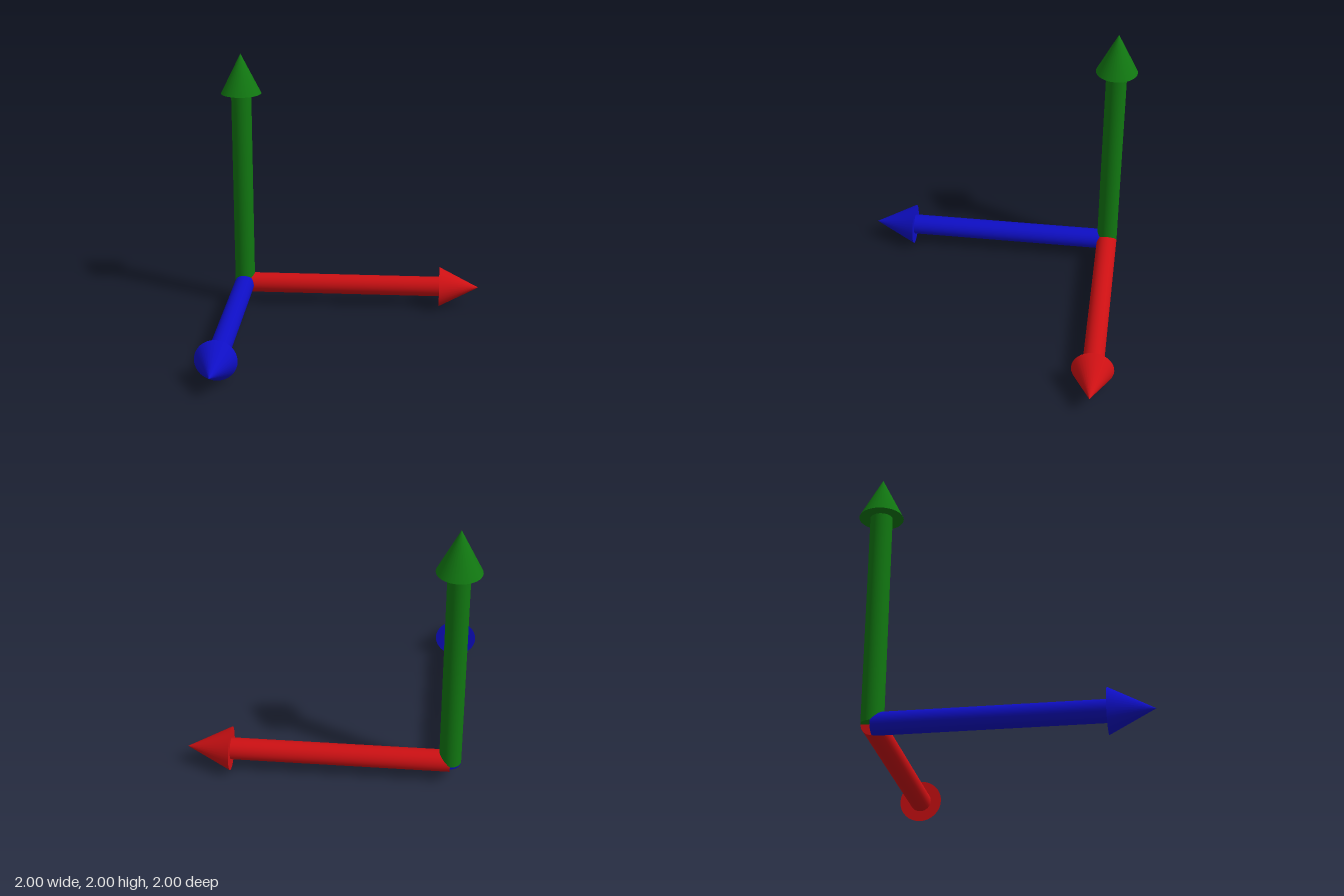
import * as THREE from 'three';

const SHAFT_LENGTH = 1.538, SHAFT_RADIUS = 0.077;
const HEAD_LENGTH = 0.308, HEAD_RADIUS = 0.154;

// One arrow pointing up +y from its own origin
function makeArrow(name, color) {
  const material = new THREE.MeshStandardMaterial({ color });
  const arrow = new THREE.Group();
  arrow.name = name;

  const shaft = new THREE.Mesh(
    new THREE.CylinderGeometry(SHAFT_RADIUS, SHAFT_RADIUS, SHAFT_LENGTH, 32), material);
  shaft.name = name + 'Shaft';
  shaft.position.y = SHAFT_LENGTH / 2;

  const head = new THREE.Mesh(
    new THREE.ConeGeometry(HEAD_RADIUS, HEAD_LENGTH, 32), material);
  head.name = name + 'Head';
  head.position.y = SHAFT_LENGTH + HEAD_LENGTH / 2;

  arrow.add(shaft, head);
  return arrow;
}

export function createModel() {
  const model = new THREE.Group();
  model.name = 'axisArrows';

  const xArrow = makeArrow('xArrow', 0xcc1013);
  xArrow.rotation.z = -Math.PI / 2;
  const yArrow = makeArrow('yArrow', 0x117711);
  const zArrow = makeArrow('zArrow', 0x0e0ec4);
  zArrow.rotation.x = Math.PI / 2;

  // All three arrows start at the shared corner
  for (const arrow of [xArrow, yArrow, zArrow]) {
    arrow.position.set(HEAD_RADIUS - 1, HEAD_RADIUS, HEAD_RADIUS - 1);
    model.add(arrow);
  }
  return model;
}
